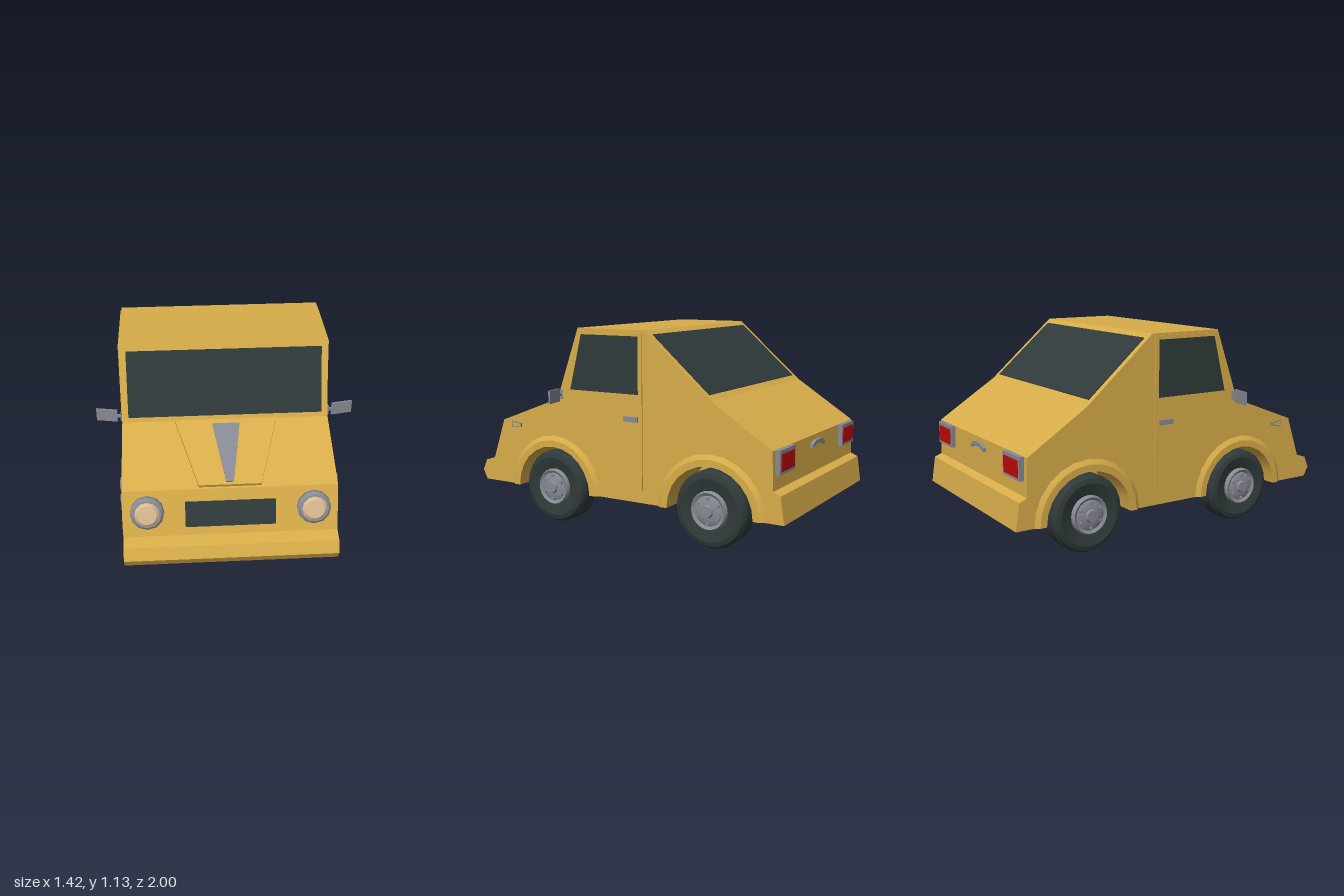
import * as THREE from 'three';
import { toCreasedNormals } from 'three/addons/utils/BufferGeometryUtils.js';

const paint = (name, color, side = THREE.FrontSide) =>
  Object.assign(new THREE.MeshStandardMaterial({ color, side }), { name });

export function createModel() {
  const car = new THREE.Group();
  car.name = 'car';
  const yellow = paint('yellow paint', 0xd8ad4a, THREE.DoubleSide);
  const dark = paint('dark glass and rubber', 0x303a3a);
  const grey = paint('grey metal', 0x888a94);
  const cream = paint('cream lens', 0xd8b98f);
  const red = paint('red lens', 0xc00808);

  const add = (name, geo, mat, parent = car) => {
    const mesh = new THREE.Mesh(geo, mat);
    mesh.name = name;
    parent.add(mesh);
    return mesh;
  };
  const box = (name, w, h, d, x, y, z, mat, parent = car) => {
    const mesh = add(name, new THREE.BoxGeometry(w, h, d), mat, parent);
    mesh.position.set(x, y, z);
    return mesh;
  };
  const v2 = (pts) => pts.map(([a, b]) => new THREE.Vector2(a, b));
  const lathe = (pts, segs, ...arc) =>
    toCreasedNormals(new THREE.LatheGeometry(v2(pts), segs, ...arc), 0.5);
  const prism = (pts, depth, hole) => {
    const shape = new THREE.Shape(v2(pts));
    if (hole) shape.holes.push(new THREE.Path(v2(hole)));
    return new THREE.ExtrudeGeometry(shape, { depth, bevelEnabled: false });
  };
  // Upright plate drawn in (z, y), centred on the given x
  const sidePlate = (pts, depth, x, hole) =>
    prism(pts, depth, hole).translate(0, 0, -depth / 2).rotateY(-Math.PI / 2).translate(x, 0, 0);

  // Body outline in (z, y), from the front sill over the roof to the rear sill
  const W = 0.57, SILL = 0.19, ARCH = 0.255;
  const axles = [0.44, -0.58];
  const outline = [
    [0.97, SILL], [1, 0.245], [0.97, 0.31], [0.905, 0.33], [0.82, 0.57], [0.41, 0.725], [0.26, 1.132],
    [-0.18, 1.132], [-0.58, 0.785], [-0.93, 0.56], [-0.935, 0.355], [-0.978, 0.337], [-1, SILL],
  ];

  // Skin running across the car along the outline
  const skin = [];
  for (let i = 0; i < outline.length - 1; i++) {
    const [z0, y0] = outline[i], [z1, y1] = outline[i + 1];
    skin.push(...[[-W, y0, z0], [W, y0, z0], [W, y1, z1], [-W, y0, z0], [W, y1, z1], [-W, y1, z1]].flat());
  }
  const skinGeo = new THREE.BufferGeometry();
  skinGeo.setAttribute('position', new THREE.Float32BufferAttribute(skin, 3));
  skinGeo.computeVertexNormals();
  add('bodySkin', skinGeo, yellow);

  // Side panels with wheel openings
  const panel = new THREE.Shape();
  outline.forEach(([z, y], i) => (i ? panel.lineTo(z, y) : panel.moveTo(z, y)));
  [...axles].reverse().forEach((z) => {
    panel.lineTo(z - ARCH, SILL);
    panel.absarc(z, SILL, ARCH, Math.PI, 0, true);
  });
  panel.closePath();

  const windowPts = [[0.315, 0.785], [0.235, 1.098], [-0.14, 1.098], [-0.14, 0.785]];
  const doorPts = [[0.255, 1.12], [-0.165, 1.12], [-0.165, 0.26], [0.125, 0.26], [0.135, 0.32],
    [0.2, 0.43], [0.27, 0.6], [0.34, 0.76]];
  const markerPts = [[0.75, 0.57], [0.75, 0.53], [0.685, 0.54], [0.68, 0.56]];
  const markerLens = [[0.744, 0.563], [0.744, 0.537], [0.692, 0.545], [0.688, 0.556]];

  // Wheel profiles: radius, distance along the axle
  const tyre = lathe([[0.1, -0.06], [0.17, -0.078], [0.195, -0.07], [0.21, -0.045], [0.21, 0.045],
    [0.195, 0.07], [0.17, 0.078], [0.1, 0.06]], 24).rotateZ(-Math.PI / 2);
  const hub = lathe([[0, -0.1], [0.06, -0.1], [0.085, -0.085], [0.105, -0.075], [0.105, 0.075],
    [0.098, 0.088], [0.082, 0.078], [0.06, 0.088], [0.035, 0.09], [0.03, 0.102], [0, 0.102]], 24)
    .rotateZ(-Math.PI / 2);
  const lug = new THREE.CylinderGeometry(0.01, 0.01, 0.02, 6).rotateZ(Math.PI / 2);
  // Flared lip continuing into the closed wheel well
  const archGeo = lathe([[0.318, W], [0.292, 0.587], [ARCH, 0.587], [ARCH, 0.34], [0, 0.34]],
    12, Math.PI, Math.PI).rotateZ(-Math.PI / 2);

  for (const s of [1, -1]) {
    const side = s > 0 ? 'left' : 'right';
    add(side + 'SidePanel', new THREE.ShapeGeometry(panel, 12).rotateY(-Math.PI / 2).translate(s * W, 0, 0), yellow);
    add(side + 'Door', sidePlate(doorPts, 0.008, s * 0.572, windowPts), yellow);
    add(side + 'Window', sidePlate(windowPts, 0.008, s * W, null), dark);
    box(side + 'DoorHandle', 0.014, 0.028, 0.09, s * 0.58, 0.65, -0.095, grey);
    box(side + 'DoorHandleGrip', 0.006, 0.01, 0.07, s * 0.588, 0.652, -0.095, grey);
    add(side + 'MarkerFrame', sidePlate(markerPts, 0.016, s * 0.572, markerLens), grey);
    add(side + 'MarkerLens', sidePlate(markerLens, 0.008, s * 0.573), yellow);

    // Door mirror
    const mirror = new THREE.Group();
    mirror.name = side + 'Mirror';
    mirror.position.set(s * 0.653, 0.752, 0.368);
    mirror.rotation.y = s * 0.18;
    box('mirrorHead', 0.118, 0.074, 0.01, 0, 0, 0, grey, mirror);
    box('mirrorStem', 0.04, 0.014, 0.01, -s * 0.07, 0, 0, grey, mirror);
    box('mirrorFoot', 0.008, 0.05, 0.025, -s * 0.082, 0, 0, grey, mirror);
    car.add(mirror);

    axles.forEach((z, i) => {
      const end = i ? 'Rear' : 'Front';
      const arch = add(side + end + 'Arch', archGeo, yellow);
      arch.position.set(0, SILL, z);
      if (s < 0) arch.rotation.y = Math.PI;

      const wheel = new THREE.Group();
      wheel.name = side + end + 'Wheel';
      wheel.position.set(s * 0.507, 0.21, z);
      if (s < 0) wheel.rotation.y = Math.PI;
      add('tyre', tyre, dark, wheel);
      add('hub', hub, grey, wheel);
      for (let k = 0; k < 6; k++) {
        const a = (k / 6) * Math.PI * 2;
        add('lugNut', lug, grey, wheel).position.set(0.086, 0.068 * Math.cos(a), 0.068 * Math.sin(a));
      }
      car.add(wheel);
    });

    // Tail light
    box(side + 'TailLightFrame', 0.19, 0.125, 0.03, s * 0.44, 0.497, -0.942, grey);
    box(side + 'TailLightLens', 0.16, 0.09, 0.008, s * 0.44, 0.495, -0.957, red);
  }

  // Group lying on one face of the outline: local y runs rearward, local z points out
  const onFace = (name, i, t) => {
    const [z0, y0] = outline[i], [z1, y1] = outline[i + 1];
    const g = new THREE.Group();
    g.name = name;
    g.position.set(0, y0 + (y1 - y0) * t, z0 + (z1 - z0) * t);
    g.rotation.x = Math.atan2(z1 - z0, y1 - y0);
    car.add(g);
    return g;
  };

  // Nose: grille and round headlights
  const nose = onFace('nose', 3, 0.46);
  box('grille', 0.48, 0.14, 0.008, 0, 0, 0.003, dark, nose);
  const ring = lathe([[0.078, -0.005], [0.09, 0.005], [0.09, 0.028], [0.076, 0.042], [0.066, 0.042],
    [0.066, 0.025]], 12).rotateX(Math.PI / 2);
  const lens = lathe([[0.066, 0.025], [0.066, 0.045], [0.052, 0.058], [0, 0.06]], 12).rotateX(Math.PI / 2);
  for (const s of [1, -1]) {
    add('headlightRing', ring, grey, nose).position.set(s * 0.44, 0.022, 0);
    add('headlightLens', lens, cream, nose).position.set(s * 0.44, 0.022, 0);
  }

  // Bonnet: raised panel and tapered centre vent
  const bonnet = onFace('bonnet', 4, 0);
  add('bonnetPanel', prism([[-0.165, 0.01], [0.165, 0.01], [0.28, 0.428], [-0.28, 0.428]], 0.02), yellow, bonnet);
  add('bonnetVent', prism([[-0.02, 0.025], [0.02, 0.025], [0.075, 0.395], [-0.075, 0.395]], 0.009), grey, bonnet)
    .position.z = 0.019;

  // Windscreen and rear window
  box('windscreen', 1.07, 0.37, 0.008, 0, 0, 0, dark, onFace('windscreenFace', 5, 0.487));
  box('rearWindow', 1.07, 0.455, 0.008, 0, 0, 0, dark, onFace('rearWindowFace', 7, 0.502));

  // Bowed boot handle
  const bow = [[-0.085, -0.012], [-0.04, 0.006], [0.04, 0.006], [0.085, -0.012],
    [0.085, -0.034], [0.035, -0.016], [-0.035, -0.016], [-0.085, -0.034]];
  add('bootHandle', prism(bow, 0.02), grey).position.set(0, 0.527, -0.95);

  return car;
}
